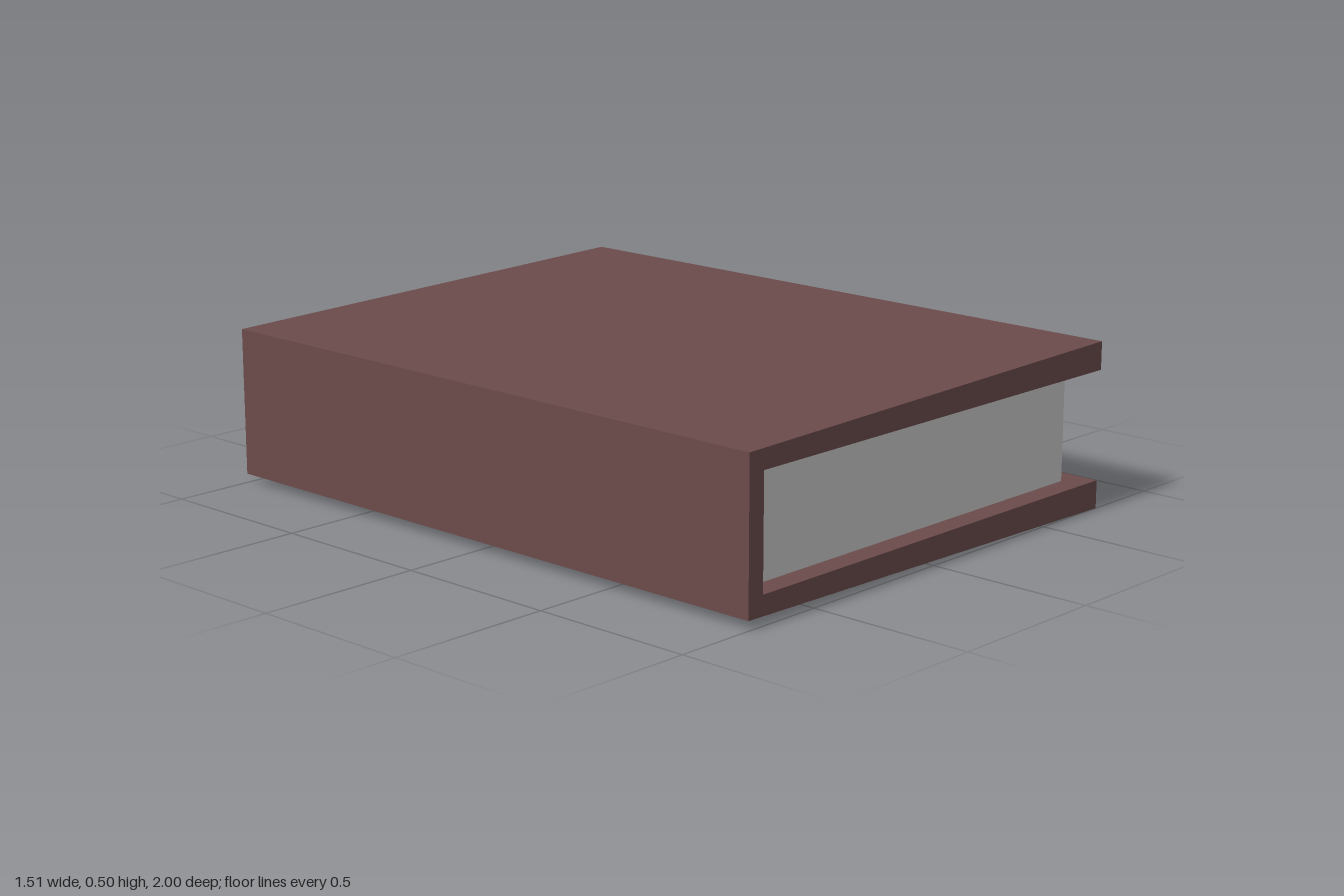
import * as THREE from 'three';

export function createModel() {
  const group = new THREE.Group();
  const coverMaterial = new THREE.MeshStandardMaterial({ color: 0x6c4b4b });
  coverMaterial.name = 'brown cover';
  const paperMaterial = new THREE.MeshStandardMaterial({ color: 0xcacaca });
  paperMaterial.name = 'pale paper';

  // Cover: C-shaped section with boards that thicken away from the spine
  const section = new THREE.Shape([
    [-0.755, 0.027], [0.755, 0], [0.755, 0.084], [-0.7, 0.084],
    [-0.7, 0.412], [0.755, 0.412], [0.755, 0.496], [-0.755, 0.469],
  ].map(([x, y]) => new THREE.Vector2(x, y)));
  const coverGeometry = new THREE.ExtrudeGeometry(section, { depth: 2, bevelEnabled: false });
  coverGeometry.translate(0, 0, -1);
  const cover = new THREE.Mesh(coverGeometry, coverMaterial);
  cover.name = 'cover';

  // Page block, set back from the open edges
  const pages = new THREE.Mesh(new THREE.BoxGeometry(1.378, 0.328, 1.86), paperMaterial);
  pages.position.set(-0.011, 0.248, 0);
  pages.name = 'pages';

  group.add(cover, pages);
  group.name = 'book';
  return group;
}
